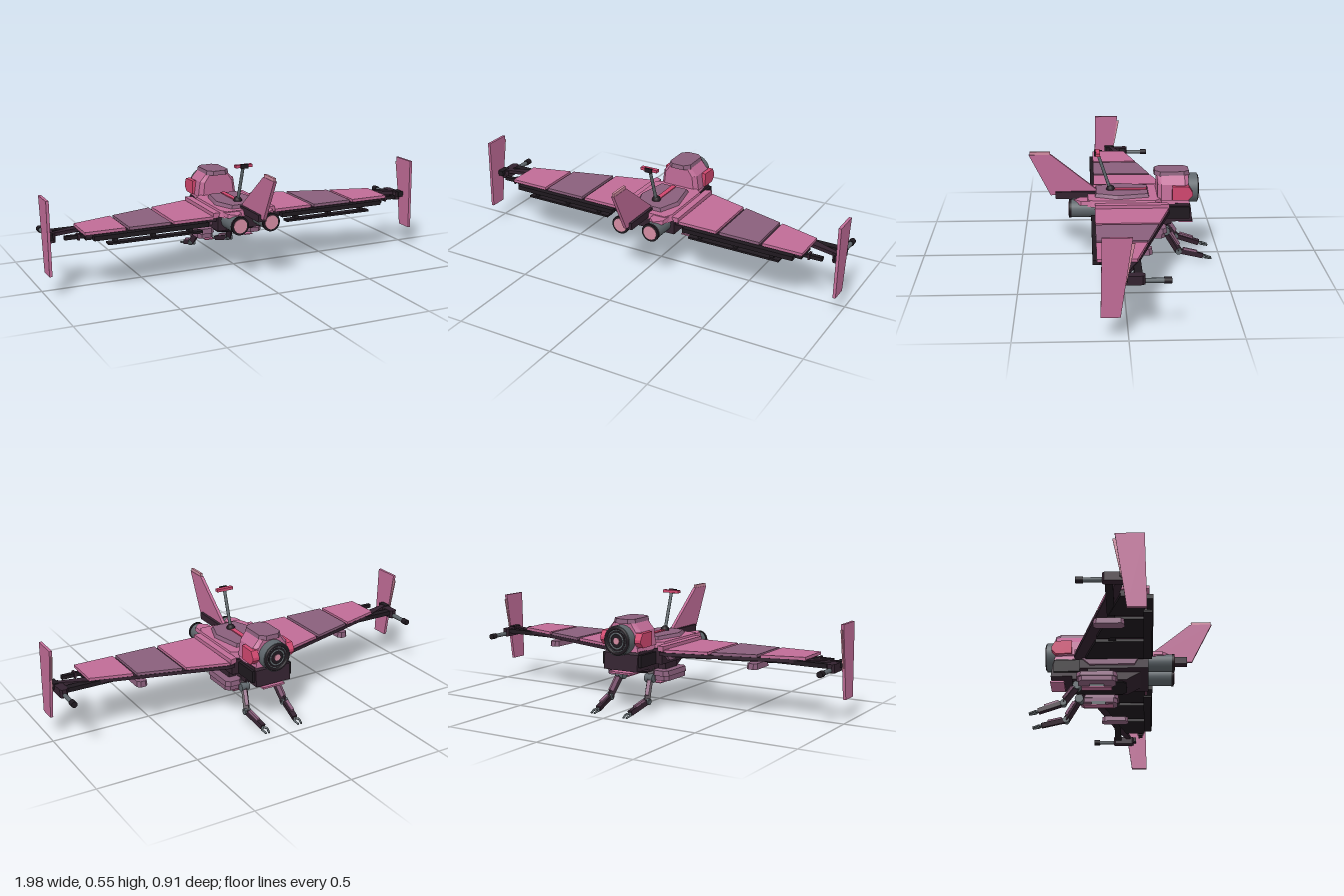
import * as THREE from 'three';

const material = (name, color) => {
  const m = new THREE.MeshStandardMaterial({ color });
  m.name = name;
  return m;
};

export function createModel() {
  const model = new THREE.Group();
  model.name = 'aircraft';
  const pink = material('pink', 0xc06c97);
  const mauve = material('mauve', 0x8a5f7c);
  const dark = material('dark plum', 0x33222f);
  const black = material('near black', 0x1f191f);
  const grey = material('steel grey', 0x5f676c);
  const red = material('crimson', 0xd0476f);
  const pale = material('pale pink', 0xd48ca2);

  const add = (name, geometry, mat) => {
    const mesh = new THREE.Mesh(geometry, mat);
    mesh.name = name;
    model.add(mesh);
    return mesh;
  };
  // Box given by its limits on each axis
  const box = (name, mat, x0, x1, y0, y1, z0, z1) => {
    const mesh = add(name, new THREE.BoxGeometry(Math.abs(x1 - x0), y1 - y0, z1 - z0), mat);
    mesh.position.set((x0 + x1) / 2, (y0 + y1) / 2, (z0 + z1) / 2);
    return mesh;
  };
  // Plan outline of [x, z] points raised from y0 to y1, its top narrowed by a factor
  const slab = (name, mat, points, y0, y1, taperX = 1, taperZ = 1) => {
    const shape = new THREE.Shape(points.map(([x, z]) => new THREE.Vector2(x, -z)));
    const g = new THREE.ExtrudeGeometry(shape, { depth: y1 - y0, bevelEnabled: false });
    g.rotateX(-Math.PI / 2).translate(0, y0, 0).computeBoundingBox();
    const c = g.boundingBox.getCenter(new THREE.Vector3());
    const p = g.attributes.position;
    for (let i = 0; i < p.count; i++) {
      if (p.getY(i) < c.y) continue;
      p.setX(i, c.x + (p.getX(i) - c.x) * taperX);
      p.setZ(i, c.z + (p.getZ(i) - c.z) * taperZ);
    }
    g.computeVertexNormals();
    return add(name, g, mat);
  };
  // Side outline of [z, y] points with a thickness across x
  const profile = (name, mat, points, x, width) => {
    const shape = new THREE.Shape(points.map(([z, y]) => new THREE.Vector2(z, y)));
    const g = new THREE.ExtrudeGeometry(shape, { depth: width, bevelEnabled: false });
    g.rotateY(-Math.PI / 2).translate(x + width / 2, 0, 0);
    return add(name, g, mat);
  };
  // Rod between two points; four sides makes a square beam
  const rod = (name, mat, a, b, r, sides = 16, r2 = r) => {
    const from = new THREE.Vector3(...a), to = new THREE.Vector3(...b);
    const dir = to.clone().sub(from);
    let g = new THREE.CylinderGeometry(r2, r, dir.length(), sides);
    if (sides === 4) {
      g.rotateY(Math.PI / 4);
      g = g.toNonIndexed();
      g.computeVertexNormals();
    }
    const mesh = add(name, g, mat);
    mesh.quaternion.setFromUnitVectors(new THREE.Vector3(0, 1, 0), dir.normalize());
    mesh.position.copy(from.add(to).multiplyScalar(0.5));
    return mesh;
  };
  // Rectangle with cut corners, as a plan outline
  const cut = (x0, x1, z0, z1, c) => [[x0 + c, z0], [x1 - c, z0], [x1, z0 + c], [x1, z1 - c],
    [x1 - c, z1], [x0 + c, z1], [x0, z1 - c], [x0, z0 + c]];

  // Hull
  profile('lowerHull', dark, [[0.02, 0.185], [-0.25, 0.19], [-0.25, 0.205], [-0.355, 0.205],
    [-0.345, 0.285], [-0.33, 0.3], [0.12, 0.3], [0.12, 0.24]], 0, 0.19);
  slab('keel', black, cut(-0.075, 0.075, -0.25, 0.02, 0.02), 0.18, 0.225, 1.15, 1);
  box('hullCore', dark, -0.145, 0.145, 0.225, 0.3, -0.21, 0.13);
  box('chinPlate', pink, -0.06, 0.06, 0.188, 0.197, -0.36, -0.29);
  slab('upperHull', pink, [[-0.09, -0.34], [0.09, -0.34], [0.1, -0.2], [0.14, -0.17],
    [0.14, 0.13], [0.12, 0.17], [-0.12, 0.17], [-0.14, 0.13], [-0.14, -0.17], [-0.1, -0.2]], 0.297, 0.328, 0.93, 0.98);
  slab('deck', mauve, [[-0.08, -0.14], [0.08, -0.14], [0.112, 0.02], [0.07, 0.13],
    [-0.07, 0.13], [-0.112, 0.02]], 0.326, 0.345, 0.9, 0.95);
  box('deckStripe', red, -0.012, 0.012, 0.344, 0.35, -0.13, 0.04);
  box('tailBoom', dark, -0.022, 0.022, 0.305, 0.34, 0.1, 0.325);

  // Tail fin
  profile('tailFin', pink, [[0.455, 0.53], [0.345, 0.53], [0.12, 0.347], [0.12, 0.32], [0.35, 0.32]], 0, 0.016);
  box('finCap', pale, -0.006, 0.006, 0.53, 0.545, 0.35, 0.45);

  // Mast with its crossbar
  rod('mast', grey, [0, 0.34, 0.05], [0, 0.532, 0.113], 0.008, 12);
  const foot = add('mastFoot', new THREE.SphereGeometry(0.022, 16, 8), black);
  foot.position.set(0, 0.347, 0.05);
  box('mastBar', red, -0.045, 0.045, 0.529, 0.543, 0.103, 0.125);
  box('mastBarBack', black, -0.02, 0.02, 0.525, 0.547, 0.123, 0.132);

  // Head
  slab('headBase', pink, cut(-0.105, 0.105, -0.335, -0.18, 0.02), 0.318, 0.395, 0.9, 1);
  slab('headTop', pink, cut(-0.0945, 0.0945, -0.335, -0.18, 0.02), 0.395, 0.433, 0.65, 1);
  slab('headRoof', mauve, cut(-0.062, 0.062, -0.342, -0.165, 0.028), 0.43, 0.452, 0.93, 0.96);
  rod('lensHousing', grey, [0, 0.352, -0.32], [0, 0.352, -0.382], 0.073, 32);
  const ring = (name, mat, radius, tube, z) => {
    add(name, new THREE.TorusGeometry(radius, tube, 8, 32), mat).position.set(0, 0.352, z);
  };
  ring('lensRim', black, 0.062, 0.009, -0.379);
  rod('lensGlass', black, [0, 0.352, -0.38], [0, 0.352, -0.384], 0.05, 32);
  ring('lensRing', grey, 0.037, 0.005, -0.382);
  rod('lensCentre', pale, [0, 0.352, -0.382], [0, 0.352, -0.387], 0.016, 20);

  for (const s of [1, -1]) {
    const side = s > 0 ? 'left' : 'right';
    const sx = pts => pts.map(([x, z]) => [x * s, z]);

    // Cheeks, shoulder blocks and hull sides
    profile(side + 'Cheek', red, [[-0.252, 0.392], [-0.335, 0.39], [-0.353, 0.36],
      [-0.353, 0.345], [-0.33, 0.32], [-0.252, 0.322]], s * 0.098, 0.036);
    slab(side + 'ShoulderBlock', pink, sx([[0.13, -0.225], [0.165, -0.235], [0.168, 0.13], [0.13, 0.13]]), 0.292, 0.318);
    profile(side + 'SideArmour', mauve, [[0.1, 0.31], [-0.17, 0.31], [-0.2, 0.275], [-0.16, 0.24], [0.06, 0.24]], s * 0.15, 0.02);
    box(side + 'SideDuct', black, s * 0.09, s * 0.11, 0.225, 0.285, -0.34, -0.21);

    // Engines
    rod(side + 'Engine', grey, [s * 0.084, 0.276, 0.08], [s * 0.084, 0.276, 0.25], 0.043, 24);
    rod(side + 'EngineRim', black, [s * 0.084, 0.276, 0.246], [s * 0.084, 0.276, 0.258], 0.046, 24);
    rod(side + 'EngineNozzle', pale, [s * 0.084, 0.276, 0.25], [s * 0.084, 0.276, 0.261], 0.035, 24);
    slab(side + 'EngineCover', pink, sx([[0.045, 0.12], [0.13, 0.12], [0.125, 0.2],
      [0.085, 0.235], [0.045, 0.2]]), 0.305, 0.324, 0.9, 0.97);

    // Wing: dark core with three skin panels and the gaps between
    const lead = x => -0.23 + (x - 0.17) * 0.285;
    slab(side + 'WingCore', dark, sx([[0.14, -0.23], [0.17, -0.235], [0.81, lead(0.81)],
      [0.96, 0.015], [0.96, 0.035], [0.81, 0.0], [0.81, 0.115], [0.14, 0.115]]), 0.272, 0.289);
    [[0.17, 0.375, pink], [0.392, 0.602, mauve], [0.618, 0.82, pink]].forEach(([a, b, mat], i) => {
      slab(side + 'WingPanel' + (i + 1), mat, sx([[a, lead(a)], [b, lead(b)], [b, 0.132], [a, 0.132]]), 0.287, 0.302);
      slab(side + 'WingUnderside' + (i + 1), black, sx([[a + 0.01, lead(a) + 0.05],
        [b - 0.01, lead(b) + 0.05], [b - 0.01, 0.11], [a + 0.01, 0.11]]), 0.258, 0.273);
    });
    box(side + 'TrailingFlap', black, s * 0.2, s * 0.78, 0.26, 0.282, 0.12, 0.15);
    box(side + 'UnderRail', black, s * 0.23, s * 0.71, 0.231, 0.241, 0.105, 0.145);
    for (const x of [0.28, 0.47, 0.66]) box(side + 'RailBracket', black, s * x, s * (x + 0.02), 0.238, 0.265, 0.105, 0.135);
    box(side + 'WingSpar', black, s * 0.2, s * 0.95, 0.263, 0.285, -0.06, -0.025);
    box(side + 'RearStub', black, s * 0.8, s * 0.905, 0.266, 0.284, 0.075, 0.097);
    box(side + 'StubEnd', dark, s * 0.835, s * 0.845, 0.26, 0.29, 0.07, 0.102);
    slab(side + 'WingPod', mauve, cut(s * 0.58 - 0.028, s * 0.58 + 0.028, -0.125, 0.02, 0.015), 0.232, 0.26, 0.9, 0.95);

    // Wingtip gun
    slab(side + 'GunBody', dark, cut(s * 0.952 - 0.02, s * 0.952 + 0.02, -0.07, 0.045, 0.01), 0.245, 0.286);
    rod(side + 'GunBarrel', grey, [s * 0.952, 0.258, -0.06], [s * 0.952, 0.258, -0.155], 0.011, 12);
    rod(side + 'GunMuzzle', black, [s * 0.952, 0.258, -0.15], [s * 0.952, 0.258, -0.183], 0.015, 12);

    // Winglet with a thin leading slat
    profile(side + 'Winglet', pink, [[0.113, 0.465], [-0.016, 0.465], [0.035, 0.106], [0.12, 0.106]], s * 0.985, 0.014);
    profile(side + 'WingletSlat', pale, [[0.0, 0.44], [-0.026, 0.44], [0.012, 0.25], [0.03, 0.25]], s * 0.984, 0.006);
    box(side + 'WingletMount', black, s * 0.95, s * 0.98, 0.262, 0.29, 0.005, 0.06);

    // Belly pod
    slab(side + 'BellyPodLower', mauve, cut(s * 0.135 - 0.042, s * 0.135 + 0.042, -0.215, -0.03, 0.018), 0.146, 0.172);
    slab(side + 'BellyPodUpper', mauve, cut(s * 0.135 - 0.046, s * 0.135 + 0.046, -0.225, -0.022, 0.02), 0.17, 0.195, 0.92, 0.96);
    box(side + 'PodHanger', dark, s * 0.1, s * 0.14, 0.19, 0.24, -0.17, -0.06);
    box(side + 'PodSensor', grey, s * 0.09, s * 0.13, 0.134, 0.15, -0.16, -0.09);
    box(side + 'PodSkid', pink, s * 0.088, s * 0.132, 0.129, 0.134, -0.2, -0.05);

    // Jointed arm with a two-finger claw
    const shoulder = [s * 0.085, 0.155, -0.222], elbow = [s * 0.108, 0.053, -0.287], wrist = [s * 0.092, 0.018, -0.41];
    for (const [name, p, r] of [['Shoulder', shoulder, 0.022], ['Elbow', elbow, 0.016]]) {
      rod(side + name, grey, [p[0] - r, p[1], p[2]], [p[0] + r, p[1], p[2]], r, 16);
    }
    rod(side + 'ShoulderMount', dark, [s * 0.08, 0.205, -0.2], shoulder, 0.018, 4);
    rod(side + 'UpperArm', dark, shoulder, elbow, 0.019, 4);
    rod(side + 'UpperArmPlate', mauve, [s * 0.093, 0.146, -0.245], [s * 0.105, 0.082, -0.285], 0.013, 4);
    rod(side + 'Forearm', dark, elbow, wrist, 0.017, 4);
    rod(side + 'ForearmPlate', mauve, [s * 0.107, 0.062, -0.31], [s * 0.098, 0.042, -0.38], 0.011, 4);
    for (const f of [-1, 1]) {
      const spread = wrist[0] + f * 0.015;
      rod(side + 'ClawFinger', grey, wrist, [spread, 0.013, -0.425], 0.006, 8);
      rod(side + 'ClawTip', grey, [spread, 0.013, -0.425], [wrist[0] + f * 0.008, 0.005, -0.454], 0.005, 8);
    }
  }
  return model;
}
